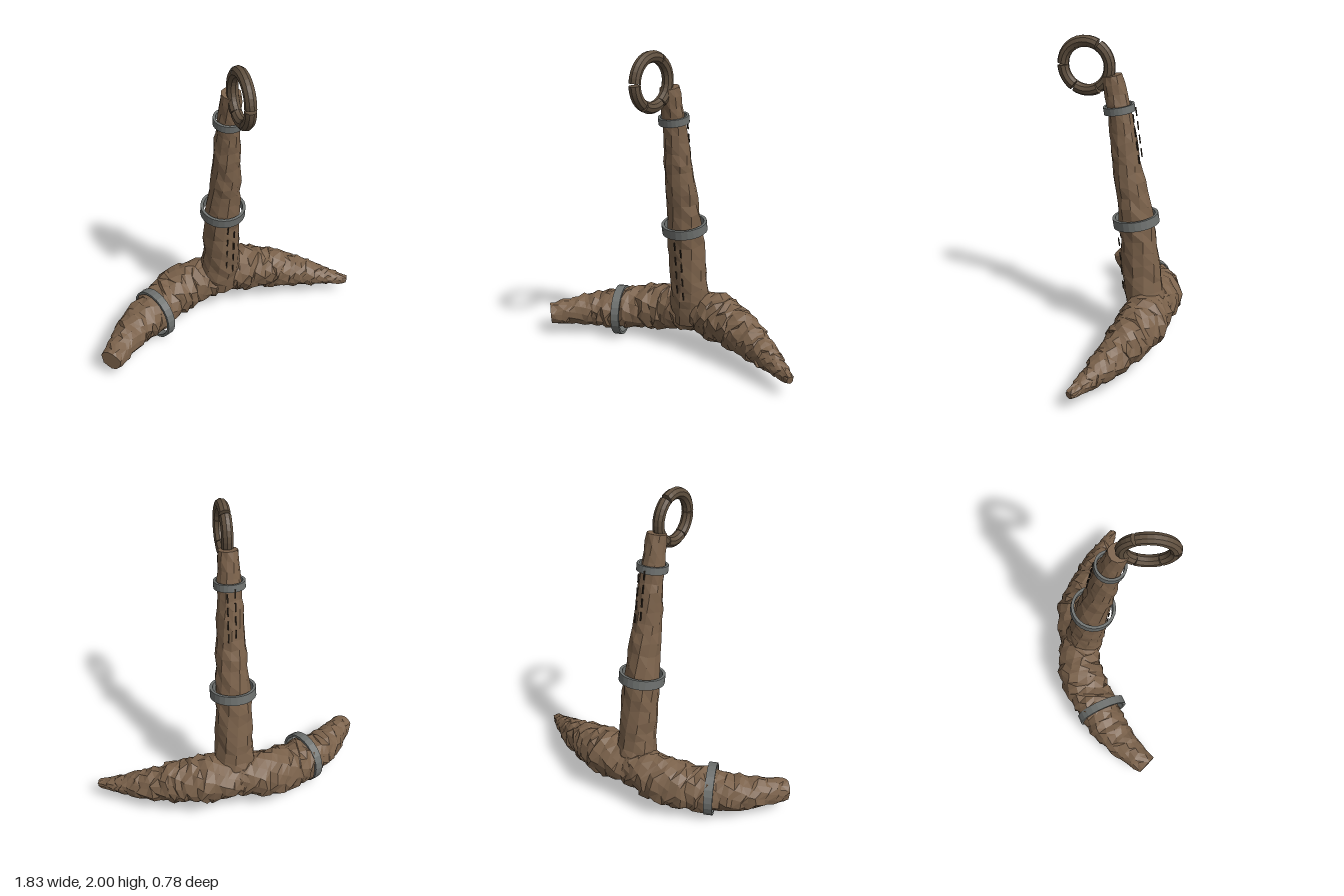
import * as THREE from 'three';

const wood = new THREE.MeshStandardMaterial({ color: 0x7b624b, flatShading: true });
const ringWood = new THREE.MeshStandardMaterial({ color: 0x5f4f3e, flatShading: true });
const metal = new THREE.MeshStandardMaterial({ color: 0x6e716f, flatShading: true });
const dark = new THREE.MeshStandardMaterial({ color: 0x33291f, flatShading: true });

const V = (x, y, z) => new THREE.Vector3(x, y, z);

// Small seeded generator, returns -1..1
function seeded(seed) {
  let s = seed;
  return () => {
    s = (s * 16807) % 2147483647;
    return (s / 2147483647) * 2 - 1;
  };
}

// Rough tapered limb through stations [x, y, z, radius], with pinched, jittered rings
function limb(stations, { rings, sides, rough, slide, twist, seed, ref }) {
  const rnd = seeded(seed);
  const curve = new THREE.CatmullRomCurve3(stations.map((s) => V(s[0], s[1], s[2])));
  const last = stations.length - 1;
  const pos = [];
  const index = [];
  for (let i = -1; i <= rings + 1; i++) {
    const t = THREE.MathUtils.clamp(i / rings, 0, 1);
    const k = Math.min(Math.floor(t * last), last - 1);
    const r = THREE.MathUtils.lerp(stations[k][3], stations[k + 1][3], t * last - k);
    const p = curve.getPoint(t);
    const T = curve.getTangent(t);
    const N = ref.clone().addScaledVector(T, -ref.dot(T)).normalize();
    const B = T.clone().cross(N);
    const cap = i < 0 || i > rings;
    const ringScale = 1 + rnd() * rough * 0.5;
    for (let j = 0; j < sides; j++) {
      const a = (j / sides) * Math.PI * 2 + i * twist;
      const rr = cap ? 0 : r * ringScale * (1 + rnd() * rough);
      const along = cap || i === 0 || i === rings ? 0 : rnd() * slide;
      const q = p.clone().addScaledVector(N, Math.cos(a) * rr)
        .addScaledVector(B, Math.sin(a) * rr).addScaledVector(T, along);
      pos.push(q.x, q.y, q.z);
    }
  }
  for (let i = 0; i < rings + 2; i++) {
    for (let j = 0; j < sides; j++) {
      const a = i * sides + j, b = i * sides + ((j + 1) % sides);
      const c = a + sides, d = b + sides;
      index.push(a, b, c, b, d, c);
    }
  }
  const geo = new THREE.BufferGeometry();
  geo.setAttribute('position', new THREE.Float32BufferAttribute(pos, 3));
  geo.setIndex(index);
  geo.computeVertexNormals();
  return geo;
}

// Flat metal hoop around an axis
function band(center, axis, outer, inner, height) {
  const h = height / 2;
  const profile = [[inner, -h], [outer, -h], [outer, h], [inner, h], [inner, -h]]
    .map(([x, y]) => new THREE.Vector2(x, y));
  const mesh = new THREE.Mesh(new THREE.LatheGeometry(profile, 24), metal);
  mesh.position.copy(center);
  mesh.quaternion.setFromUnitVectors(V(0, 1, 0), axis.clone().normalize());
  return mesh;
}

export function createModel() {
  const group = new THREE.Group();
  const add = (name, mesh) => {
    mesh.name = name;
    group.add(mesh);
    return mesh;
  };

  // Leaning tapered shaft
  add('shaft', new THREE.Mesh(limb([
    [0.01, 0.2, -0.19, 0.13], [0.015, 0.5, -0.15, 0.125], [0.015, 0.86, -0.11, 0.108],
    [0.018, 1.2, -0.05, 0.092], [0.015, 1.5, -0.008, 0.075], [0.015, 1.77, 0.048, 0.062],
  ], { rings: 24, sides: 11, rough: 0.06, slide: 0.012, twist: 0.05, seed: 11, ref: V(0, 0, 1) }), wood));

  // Blunt right arm and pointed left arm, sweeping forward
  const bark = { sides: 13, rough: 0.085, slide: 0.02, twist: 0.12, ref: V(0, 1, 0) };
  add('rightArm', new THREE.Mesh(limb([
    [0.05, 0.25, -0.215, 0.13], [-0.22, 0.22, -0.2, 0.155], [-0.45, 0.18, -0.09, 0.145],
    [-0.67, 0.16, 0.06, 0.115], [-0.865, 0.145, 0.27, 0.068],
  ], { ...bark, rings: 34, seed: 23 }), wood));
  add('leftArm', new THREE.Mesh(limb([
    [-0.04, 0.25, -0.21, 0.13], [0.2, 0.25, -0.22, 0.158], [0.4, 0.22, -0.175, 0.135],
    [0.6, 0.175, -0.12, 0.1], [0.77, 0.14, -0.05, 0.06], [0.905, 0.115, 0.012, 0.024],
  ], { ...bark, rings: 38, seed: 57 }), wood));

  // Metal bands
  const lean = V(0, 1, 0.16);
  add('lowerShaftBand', band(V(0.015, 0.862, -0.107), lean, 0.146, 0.127, 0.06));
  add('upperShaftBand', band(V(0.015, 1.57, 0.003), lean, 0.096, 0.08, 0.045));
  add('armBand', band(V(-0.49, 0.17, -0.045), V(0.9, 0, -0.43), 0.17, 0.152, 0.055));

  // Eye ring made of short curved segments with thin gaps
  const eye = new THREE.Group();
  eye.name = 'eyeRing';
  [[62, 178], [182, 237], [241, 299], [303, 418]].forEach(([from, to]) => {
    const arc = [];
    for (let i = 0; i <= 8; i++) {
      const a = THREE.MathUtils.degToRad(from + ((to - from) * i) / 8);
      arc.push(V(0, Math.sin(a) * 0.148, -Math.cos(a) * 0.148));
    }
    const path = new THREE.CatmullRomCurve3(arc);
    const seg = new THREE.Mesh(new THREE.TubeGeometry(path, 10, 0.036, 9), ringWood);
    seg.name = 'ringSegment';
    eye.add(seg);
    // Closed ends
    [0, 1].forEach((t) => {
      const cap = new THREE.Mesh(new THREE.CircleGeometry(0.036, 9), ringWood);
      const out = path.getTangent(t).multiplyScalar(t ? 1 : -1);
      cap.name = 'ringSegmentEnd';
      cap.position.copy(path.getPoint(t));
      cap.quaternion.setFromUnitVectors(V(0, 0, 1), out);
      eye.add(cap);
    });
  });
  eye.position.set(0.015, 1.816, 0.21);
  group.add(eye);

  // Thin dark splinters down the front foot and the upper back of the shaft
  const splinter = (x, y, z) => {
    const m = add('splinter', new THREE.Mesh(new THREE.BoxGeometry(0.008, 0.055, 0.006), dark));
    m.position.set(x, y, z);
    m.rotation.x = 0.14;
  };
  for (let i = 0; i < 4; i++) {
    const y = 0.45 + i * 0.1;
    splinter(0.015, y, -0.032 + i * 0.009);
    splinter(0.06, y - 0.04, -0.037 + i * 0.009);
    const yb = 1.3 + i * 0.085;
    splinter(0.0, yb, -0.135 + i * 0.012);
    splinter(0.045, yb - 0.03, -0.132 + i * 0.012);
  }
  return group;
}
